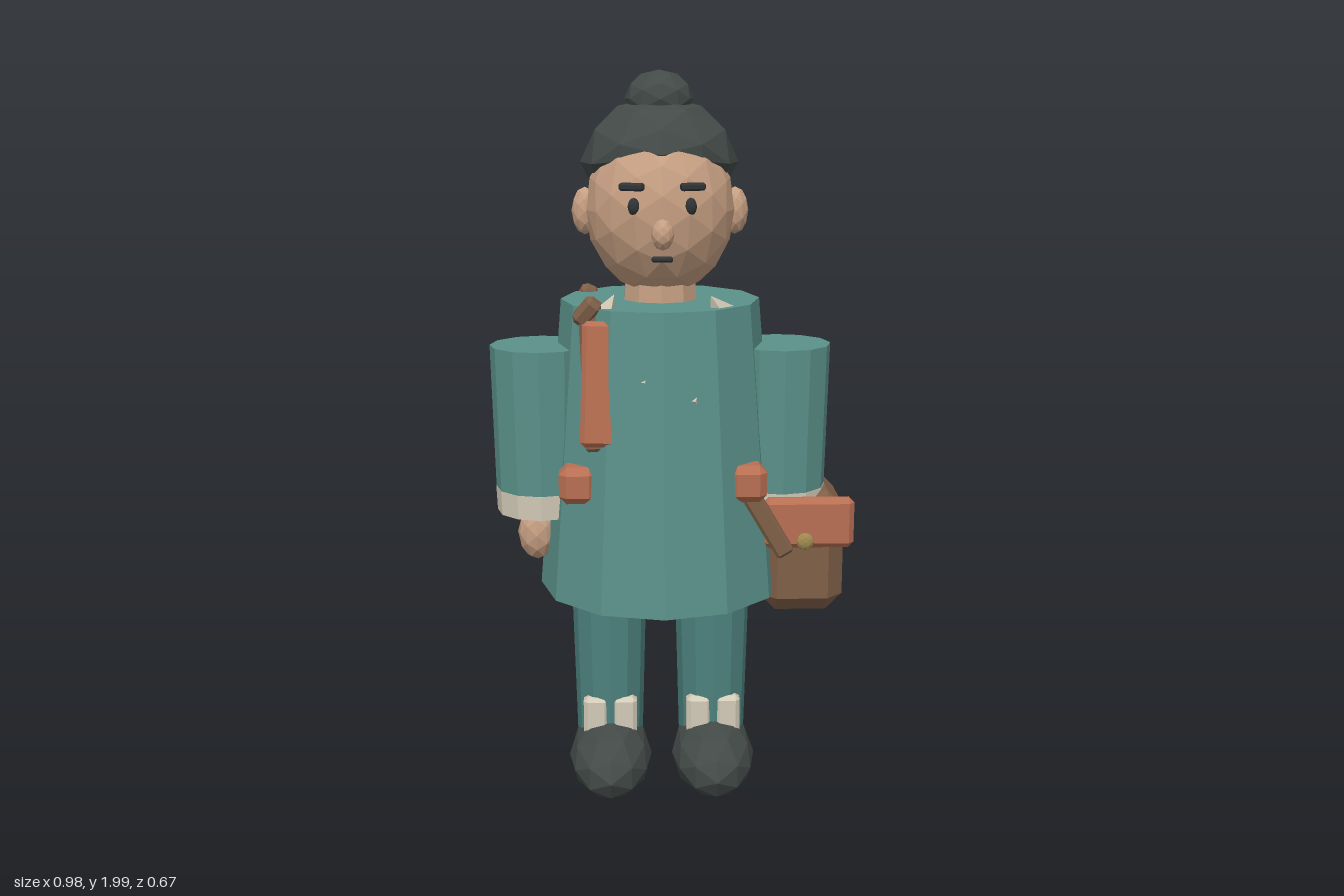
import * as THREE from 'three';
import { ConvexGeometry } from 'three/addons/geometries/ConvexGeometry.js';

const CX = -0.03; // body axis
const mat = (color) => new THREE.MeshStandardMaterial({ color, flatShading: true });

export function createModel() {
  const group = new THREE.Group();
  const teal = mat(0x5b918a), trouser = mat(0x4d827e), skin = mat(0xc69f82), hair = mat(0x434a47);
  const cream = mat(0xd3cbb8), tan = mat(0xb86f52), brown = mat(0x7f5f48), dark = mat(0x303436), brass = mat(0xa08a50);

  const add = (name, geometry, material, x, y, z) => {
    const mesh = new THREE.Mesh(geometry, material);
    mesh.name = name;
    mesh.position.set(x, y, z);
    group.add(mesh);
    return mesh;
  };
  const ball = (name, material, x, y, z, rx, ry, rz, detail = 1) =>
    add(name, new THREE.IcosahedronGeometry(1, detail).scale(rx, ry, rz), material, x, y, z);
  const tube = (name, material, x, y0, y1, z, r0, r1, n = 12) =>
    add(name, new THREE.CylinderGeometry(r1, r0, y1 - y0, n), material, x, (y0 + y1) / 2, z);

  // Box with every edge chamfered by c
  const chamferBox = (w, h, d, c) => {
    const points = [];
    for (const sx of [-1, 1]) for (const sy of [-1, 1]) for (const sz of [-1, 1])
      for (let axis = 0; axis < 3; axis++) {
        const half = [w, h, d].map((s, i) => s / 2 - (i === axis ? 0 : c));
        points.push(new THREE.Vector3(sx * half[0], sy * half[1], sz * half[2]));
      }
    return new ConvexGeometry(points);
  };
  const block = (name, material, x, y, z, w, h, d, c = 0.01) =>
    add(name, chamferBox(w, h, d, c), material, x, y, z);
  // Chamfered bar between two points
  const bar = (name, material, a, b, w, d, c = 0.008) => {
    const from = new THREE.Vector3(...a), to = new THREE.Vector3(...b);
    const mid = from.clone().add(to).multiplyScalar(0.5);
    const mesh = block(name, material, mid.x, mid.y, mid.z, w, from.distanceTo(to), d, c);
    mesh.quaternion.setFromUnitVectors(new THREE.Vector3(0, 1, 0), to.sub(from).normalize());
    return mesh;
  };

  // Coat and neck
  tube('coat', teal, CX, 0.6, 1.4, 0, 0.335, 0.268);
  tube('neck', skin, CX, 1.36, 1.48, 0, 0.105, 0.095, 10);

  // Head
  ball('head', skin, CX, 1.64, 0, 0.2, 0.23, 0.198, 2);
  ball('nose', skin, CX, 1.59, 0.195, 0.03, 0.04, 0.033);
  block('mouth', dark, CX, 1.525, 0.175, 0.055, 0.014, 0.02, 0.004);

  // Hair: ellipsoid flattened on to a slanting hairline
  const cap = new THREE.IcosahedronGeometry(1, 1).scale(0.212, 0.172, 0.198);
  const p = cap.attributes.position;
  for (let i = 0; i < p.count; i++)
    p.setY(i, Math.max(p.getY(i), -0.065 + 0.47 * p.getZ(i)));
  add('hair', cap, hair, CX, 1.76, -0.047);
  ball('hairBun', hair, CX, 1.925, -0.062, 0.093, 0.075, 0.092);

  // Mirrored face, limb and clothing parts
  for (const s of [-1, 1]) {
    const at = (dx) => CX + s * dx;
    ball('ear', skin, at(0.2), 1.635, 0.002, 0.036, 0.063, 0.038);
    ball('eye', dark, at(0.073), 1.66, 0.178, 0.016, 0.023, 0.014);
    const brow = block('eyebrow', dark, at(0.078), 1.71, 0.177, 0.065, 0.02, 0.025, 0.005);
    brow.rotation.y = s * 0.35;

    tube('sleeve', teal, at(0.325), 0.885, 1.28, 0.025, 0.127, 0.136);
    tube('cuff', cream, at(0.325), 0.82, 0.887, 0.025, 0.125, 0.128);
    ball('hand', skin, at(0.342), 0.755, 0.025, 0.054, 0.08, 0.055);

    tube('trouserLeg', trouser, at(0.145), 0.15, 0.68, 0, 0.093, 0.107);
    ball('shoe', hair, at(0.145), 0.108, 0.076, 0.116, 0.102, 0.206);
    for (const side of [-1, 1])
      block('sockPanel', cream, at(0.145) + side * 0.04, 0.22, 0.068, 0.07, 0.125, 0.06, 0.012);

    // Collar tips above the coat rim and small points on the chest
    const tip = add('collarTip', new THREE.ConeGeometry(0.04, 0.07, 4), cream, at(0.14), 1.405, 0.175);
    tip.rotation.set(0.3, 0.4, s * 0.5);

    // Belt fittings at the four corners
    for (const z of [0.192, -0.155])
      block('beltFitting', tan, at(0.225), 0.935, z, 0.1, 0.1, 0.088, 0.02);
  }
  for (const [x, y] of [[-0.08, 1.22], [0.05, 1.17]]) {
    const point = add('chestPoint', new THREE.ConeGeometry(0.036, 0.05, 3), cream, x, y, 0.255);
    point.rotation.set(1.5, 0.5, 0);
  }

  // Shoulder strap with its front pad
  bar('strapFront', brown, [-0.205, 1.03, 0.225], [-0.222, 1.41, 0.17], 0.055, 0.04);
  const stub = bar('strapTop', brown, [-0.25, 1.36, 0.17], [-0.2, 1.42, 0.185], 0.05, 0.05, 0.012);
  stub.name = 'strapTopFront';
  bar('strapTopBack', brown, [-0.25, 1.35, -0.165], [-0.215, 1.41, -0.135], 0.05, 0.05, 0.012);
  bar('strapPad', tan, [-0.19, 1.045, 0.237], [-0.18, 1.37, 0.205], 0.115, 0.05, 0.012);

  // Satchel, its flap, clasp and papers
  block('satchel', brown, 0.355, 0.71, -0.02, 0.23, 0.34, 0.312, 0.045);
  block('satchelFlap', tan, 0.365, 0.81, 0.155, 0.246, 0.14, 0.04, 0.015);
  ball('clasp', brass, 0.353, 0.765, 0.185, 0.024, 0.024, 0.012);
  block('papers', cream, 0.34, 0.885, -0.067, 0.14, 0.11, 0.135, 0.008);
  for (const z of [0.195, -0.165])
    bar('satchelStrap', brown, [0.185, 0.93, z], [0.3, 0.735, z], 0.05, 0.045);

  return group;
}
